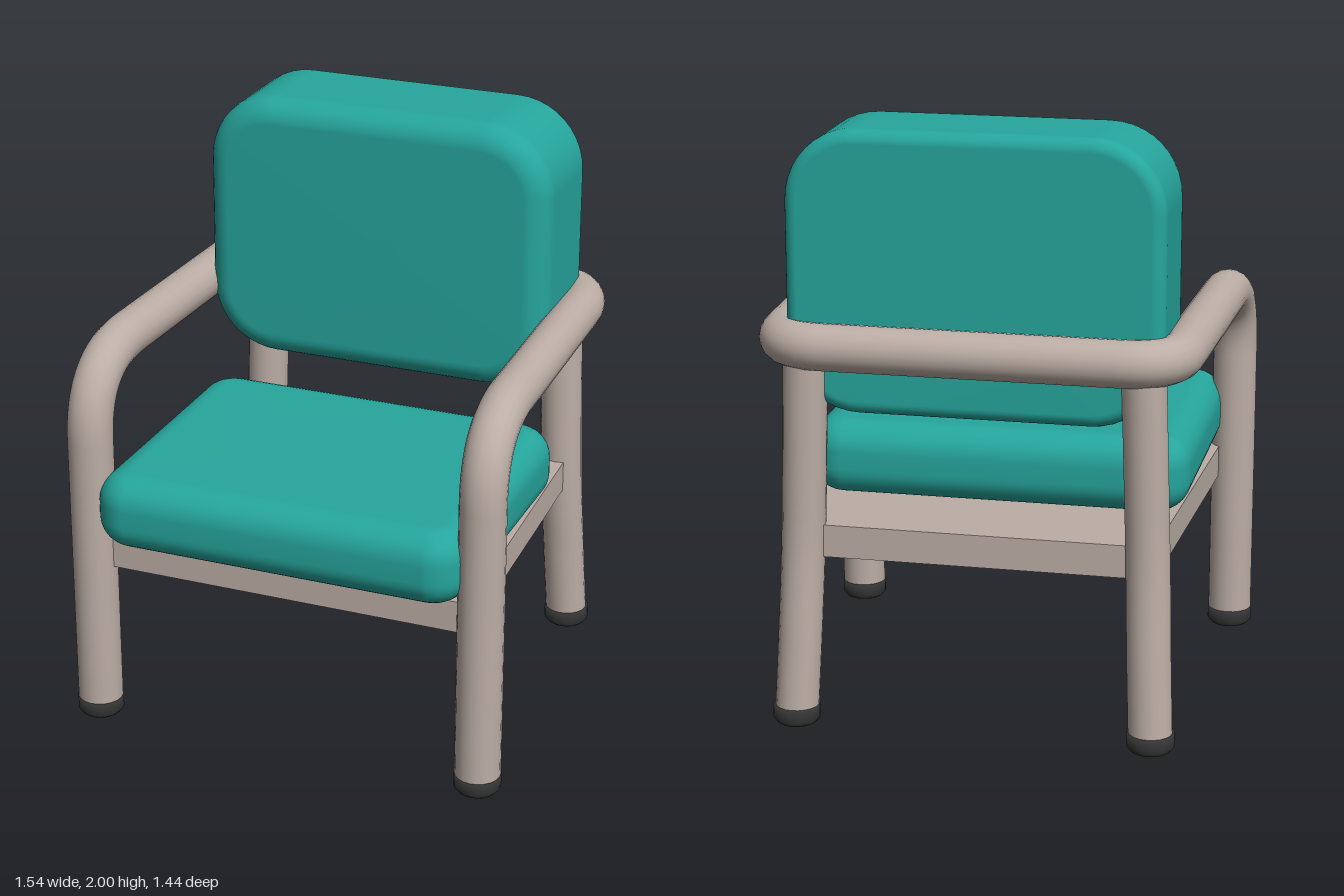
import * as THREE from 'three';

const teal = new THREE.MeshStandardMaterial({ color: 0x26a69d });
const frameGrey = new THREE.MeshStandardMaterial({ color: 0xbcaea6 });
const rubber = new THREE.MeshStandardMaterial({ color: 0x333333 });
teal.name = 'teal fabric';
frameGrey.name = 'warm grey frame';
rubber.name = 'dark rubber';

const v = (x, y, z) => new THREE.Vector3(x, y, z);

function add(group, name, geometry, material, x = 0, y = 0, z = 0) {
  const mesh = new THREE.Mesh(geometry, material);
  mesh.name = name;
  mesh.position.set(x, y, z);
  group.add(mesh);
  return mesh;
}

// Rounded rectangle as a counter-clockwise loop of [x, y]
function roundedLoop(w, h, r, steps = 10) {
  const loop = [];
  [[1, 1], [-1, 1], [-1, -1], [1, -1]].forEach(([sx, sy], q) => {
    for (let i = 0; i <= steps; i++) {
      const a = (q + i / steps) * Math.PI / 2;
      loop.push([sx * (w - r) + r * Math.cos(a), sy * (h - r) + r * Math.sin(a)]);
    }
  });
  return loop;
}

// Padded cushion along z: rounded outline with a soft back edge (rb) and front edge (rf)
function cushion(w, h, corner, depth, rb, rf) {
  const rings = [], n = 7, d = depth / 2;
  for (let i = 0; i <= n; i++) {
    const a = i / n * Math.PI / 2;
    rings.push([rb * (1 - Math.sin(a)), -d + rb * (1 - Math.cos(a))]);
  }
  for (let i = 0; i <= n; i++) {
    const a = i / n * Math.PI / 2;
    rings.push([rf * (1 - Math.cos(a)), d - rf * (1 - Math.sin(a))]);
  }
  const pos = [], idx = [];
  let m = 0;
  for (const [inset, z] of rings) {
    const loop = roundedLoop(w - inset, h - inset, corner - inset);
    m = loop.length;
    for (const [x, y] of loop) pos.push(x, y, z);
  }
  const back = rings.length * m, front = back + 1, last = (rings.length - 1) * m;
  pos.push(0, 0, -d, 0, 0, d);
  for (let j = 0; j < m; j++) {
    const k = (j + 1) % m;
    for (let i = 0; i < rings.length - 1; i++) {
      const a = i * m + j, b = i * m + k;
      idx.push(a, b, b + m, a, b + m, a + m);
    }
    idx.push(back, k, j, front, last + j, last + k);
  }
  const g = new THREE.BufferGeometry();
  g.setAttribute('position', new THREE.Float32BufferAttribute(pos, 3));
  g.setIndex(idx);
  g.computeVertexNormals();
  return g;
}

export function createModel() {
  const chair = new THREE.Group();
  chair.name = 'armchair';
  const R = 0.077;

  // One continuous tube: front legs, arms and back rail
  const path = new THREE.CurvePath();
  const line = (a, b) => path.add(new THREE.LineCurve3(a, b));
  const bend = (a, c, b) => path.add(new THREE.QuadraticBezierCurve3(a, c, b));
  const side = s => [
    v(s * 0.69, 0.04, 0.598), v(s * 0.69, 1.03, 0.598), v(s * 0.69, 1.298, 0.598),
    v(s * 0.682, 1.298, 0.31), v(s * 0.657, 1.298, -0.46), v(s * 0.652, 1.298, -0.643),
    v(s * 0.48, 1.298, -0.643),
  ];
  const L = side(1), Rt = side(-1);
  line(L[0], L[1]);
  bend(L[1], L[2], L[3]);
  line(L[3], L[4]);
  bend(L[4], L[5], L[6]);
  line(L[6], Rt[6]);
  bend(Rt[6], Rt[5], Rt[4]);
  line(Rt[4], Rt[3]);
  bend(Rt[3], Rt[2], Rt[1]);
  line(Rt[1], Rt[0]);
  add(chair, 'armFrame', new THREE.TubeGeometry(path, 200, R, 20), frameGrey);

  // Rear legs and rubber feet
  const footProfile = [[0, 0], [0.066, 0], [0.079, 0.015], [0.079, 0.06], [0, 0.06]]
    .map(([x, y]) => new THREE.Vector2(x, y));
  for (const s of [1, -1]) {
    const tag = s > 0 ? 'left' : 'right';
    const leg = new THREE.CatmullRomCurve3([
      v(s * 0.596, 0.04, -0.63), v(s * 0.585, 0.3, -0.61),
      v(s * 0.574, 0.62, -0.587), v(s * 0.553, 1.28, -0.592),
    ]);
    add(chair, tag + 'RearLeg', new THREE.TubeGeometry(leg, 24, 0.073, 20), frameGrey);
    add(chair, tag + 'FrontFoot', new THREE.LatheGeometry(footProfile, 20), rubber, s * 0.69, 0, 0.598);
    add(chair, tag + 'RearFoot', new THREE.LatheGeometry(footProfile, 20), rubber, s * 0.597, 0, -0.631);
  }

  // Seat panel, narrower at the rear
  const panel = new THREE.BoxGeometry(1.3, 0.11, 1.21);
  const p = panel.attributes.position;
  for (let i = 0; i < p.count; i++) if (p.getZ(i) < 0) p.setX(i, p.getX(i) * 0.92);
  panel.computeVertexNormals();
  add(chair, 'seatPanel', panel, frameGrey, 0, 0.627, 0.005);

  // Cushions
  const seat = cushion(0.65, 0.515, 0.125, 0.26, 0.1, 0.1).rotateX(-Math.PI / 2);
  add(chair, 'seatCushion', seat, teal, 0, 0.81, 0.205);
  add(chair, 'backCushion', cushion(0.618, 0.467, 0.24, 0.425, 0.045, 0.085), teal, 0, 1.533, -0.3975);

  return chair;
}
